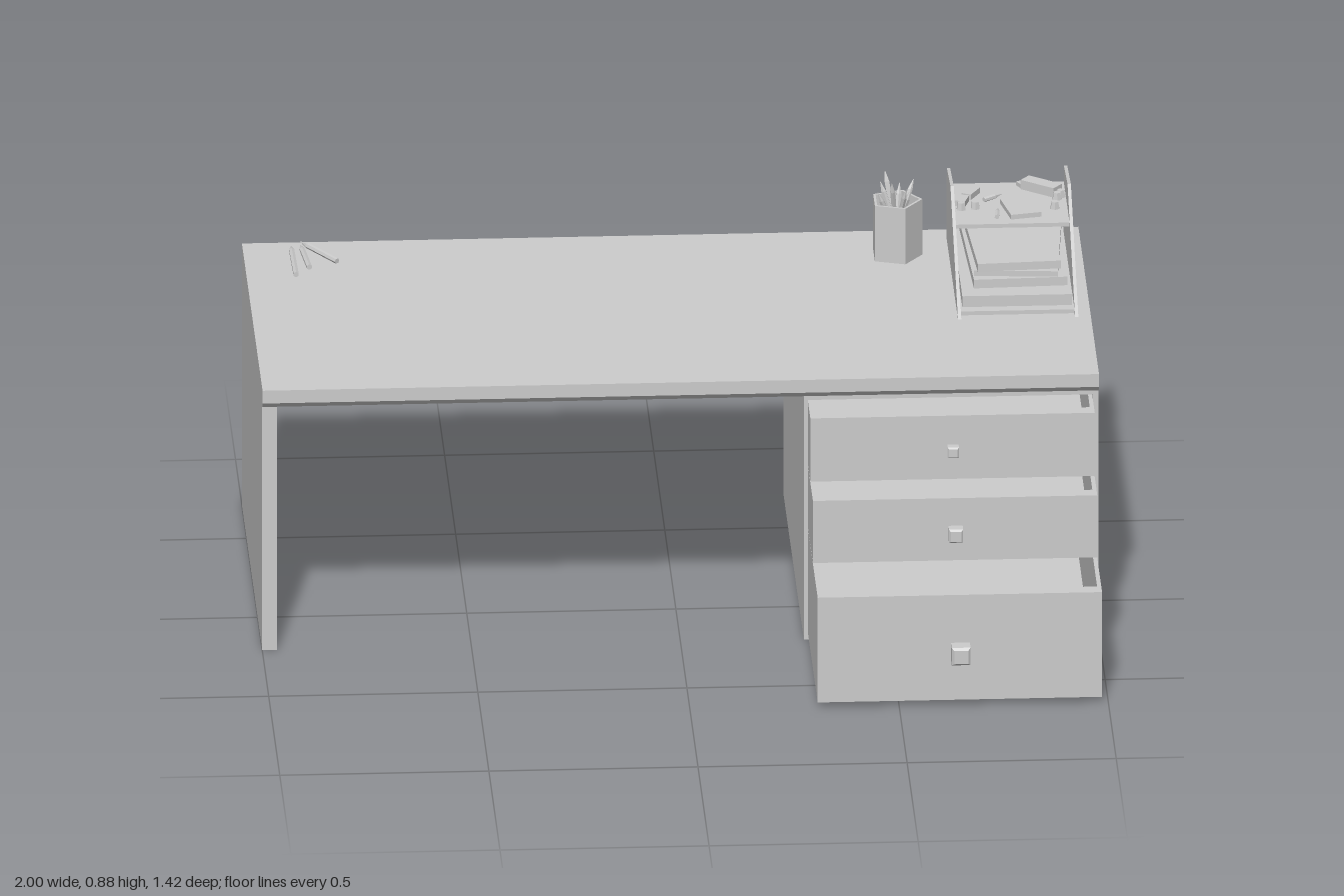
import * as THREE from 'three';

const mat = new THREE.MeshStandardMaterial({ color: 0xcccccc, flatShading: true, side: THREE.DoubleSide });

function add(parent, name, geo) {
  const m = new THREE.Mesh(geo, mat);
  m.name = name;
  parent.add(m);
  return m;
}

function group(parent, name) {
  const g = new THREE.Group();
  g.name = name;
  parent.add(g);
  return g;
}

// Box given by its limits on each axis
function box(parent, name, x0, x1, y0, y1, z0, z1) {
  const m = add(parent, name, new THREE.BoxGeometry(x1 - x0, y1 - y0, z1 - z0));
  m.position.set((x0 + x1) / 2, (y0 + y1) / 2, (z0 + z1) / 2);
  return m;
}

// Box given by its centre, size and turn about y
function turnedBox(parent, name, x, y, z, w, h, d, turn) {
  const m = add(parent, name, new THREE.BoxGeometry(w, h, d));
  m.position.set(x, y, z);
  m.rotation.y = turn;
  return m;
}

// Side profile of [z, y] points, extruded from x0 to x1
function sideProfile(parent, name, points, x0, x1) {
  const shape = new THREE.Shape(points.map(p => new THREE.Vector2(...p)));
  const geo = new THREE.ExtrudeGeometry(shape, { depth: x1 - x0, bevelEnabled: false });
  geo.rotateY(-Math.PI / 2);
  geo.translate(x1, 0, 0);
  return add(parent, name, geo);
}

// Six-sided pencil from its blunt end to its point
function pencil(parent, from, to, r) {
  const a = new THREE.Vector3(...from), b = new THREE.Vector3(...to);
  const len = a.distanceTo(b);
  const profile = [[0, 0], [r, 0], [r, len - r * 4], [0.0005, len]].map(p => new THREE.Vector2(...p));
  const m = add(parent, 'pencil', new THREE.LatheGeometry(profile, 6));
  m.position.copy(a);
  m.quaternion.setFromUnitVectors(new THREE.Vector3(0, 1, 0), b.sub(a).normalize());
}

// Open drawer with a front panel and a square chamfered knob
function drawer(parent, name, y0, y1, front, s) {
  const g = group(parent, name);
  const x0 = 0.305, x1 = 0.985, t = 0.01, back = front - 0.87;
  box(g, 'drawerFront', x0, x1, y0, y1, front - 0.036, front);
  box(g, 'drawerBack', x0, x1, y0, y1, back, back + t);
  box(g, 'drawerSide', x0, x0 + t, y0, y1, back + t, front - 0.036);
  box(g, 'drawerSide', x1 - t, x1, y0, y1, back + t, front - 0.036);
  box(g, 'drawerBottom', x0 + t, x1 - t, y0, y0 + t, back + t, front - 0.036);
  const profile = [[0, 0], [s * 0.55, 0], [s * 0.55, s * 0.9], [s * 0.75, s * 0.9], [s, s * 1.2],
    [s, s * 2.6], [s * 0.75, s * 2.9], [0, s * 2.9]];
  const geo = new THREE.LatheGeometry(profile.map(p => new THREE.Vector2(p[0] * Math.SQRT2, p[1])), 4);
  geo.rotateY(Math.PI / 4).rotateX(Math.PI / 2);
  add(g, 'knob', geo).position.set(0.645, y0 + (y1 - y0) * 0.5, front);
}

export function createModel() {
  const model = new THREE.Group();
  model.name = 'desk';

  // Desktop with a chamfered lower front edge, and its end panel
  sideProfile(model, 'desktop', [[-0.71, 0.627], [0.208, 0.627], [0.223, 0.642], [0.223, 0.675], [-0.71, 0.675]], -1, 1);
  box(model, 'endPanel', -1, -0.965, 0, 0.627, -0.71, 0.208);

  // Drawer cabinet, open at the front
  const cabinet = group(model, 'cabinet');
  box(cabinet, 'cabinetSide', 0.295, 0.305, 0, 0.627, -0.71, 0.208);
  box(cabinet, 'cabinetSide', 0.987, 1, 0, 0.627, -0.71, 0.208);
  box(cabinet, 'cabinetBottom', 0.305, 0.987, 0, 0.012, -0.71, 0.208);
  box(cabinet, 'cabinetTop', 0.305, 0.987, 0.617, 0.627, -0.71, 0.208);
  box(cabinet, 'cabinetBack', 0.305, 0.987, 0.012, 0.617, -0.71, -0.695);

  drawer(model, 'topDrawer', 0.45, 0.613, 0.315, 0.0135);
  drawer(model, 'middleDrawer', 0.287, 0.447, 0.43, 0.017);
  drawer(model, 'bottomDrawer', 0.015, 0.285, 0.645, 0.0225);

  // Desk tray: sloping sides, base and upper shelf
  const tray = group(model, 'paperTray');
  const side = [[-0.14, 0.675], [-0.48, 0.88], [-0.645, 0.86], [-0.665, 0.675]];
  sideProfile(tray, 'traySide', side, 0.682, 0.69);
  sideProfile(tray, 'traySide', side, 0.962, 0.97);
  box(tray, 'trayBase', 0.69, 0.962, 0.675, 0.685, -0.665, -0.165);
  box(tray, 'trayShelf', 0.69, 0.962, 0.807, 0.817, -0.65, -0.39);

  // Stacked papers and books below the shelf
  [[0.826, 0.7, -0.42, 0.262, 0.028, 0.46, 0], [0.83, 0.726, -0.43, 0.225, 0.022, 0.38, 0.04],
    [0.84, 0.745, -0.42, 0.2, 0.014, 0.34, -0.08], [0.825, 0.762, -0.42, 0.2, 0.02, 0.33, 0.06]]
    .forEach(p => turnedBox(tray, 'paperStack', ...p));

  // Small supplies on the shelf
  const supplies = group(tray, 'supplies');
  turnedBox(supplies, 'notepad', 0.85, 0.823, -0.475, 0.075, 0.012, 0.105, 0.2);
  turnedBox(supplies, 'stapler', 0.905, 0.829, -0.592, 0.095, 0.024, 0.035, -0.65);
  turnedBox(supplies, 'eraser', 0.735, 0.824, -0.572, 0.025, 0.014, 0.05, -0.5);
  turnedBox(supplies, 'eraser', 0.712, 0.824, -0.525, 0.025, 0.014, 0.04, -0.3);
  turnedBox(supplies, 'eraser', 0.865, 0.822, -0.63, 0.03, 0.01, 0.02, 0.5);
  pencil(supplies, [0.79, 0.823, -0.42], [0.795, 0.823, -0.475], 0.006);
  pencil(supplies, [0.765, 0.823, -0.53], [0.81, 0.823, -0.565], 0.006);
  for (const [x, z] of [[0.708, -0.487], [0.742, -0.492], [0.932, -0.483], [0.94, -0.54], [0.95, -0.555]]) {
    add(supplies, 'pin', new THREE.CylinderGeometry(0.009, 0.012, 0.018, 6)).position.set(x, 0.826, z);
  }

  // Five-sided pencil cup with pencils
  const cup = group(model, 'pencilCup');
  cup.position.set(0.555, 0.675, -0.555);
  const wall = [[0, 0], [0.064, 0], [0.064, 0.143], [0.057, 0.143], [0.057, 0.008], [0, 0.008]];
  const cupGeo = new THREE.LatheGeometry(wall.map(p => new THREE.Vector2(...p)), 5);
  cupGeo.rotateY(Math.PI / 2);
  add(cup, 'cup', cupGeo);
  for (let i = 0; i < 8; i++) {
    const a = i * Math.PI / 4 + 0.3, r = 0.038 + 0.012 * (i % 2);
    const c = Math.cos(a), s = Math.sin(a);
    pencil(cup, [-0.02 * c, 0.01, -0.02 * s], [r * c, 0.172 + 0.014 * (i % 3), r * s], 0.0065);
  }

  // Loose pencils on the other end of the desk
  const loose = group(model, 'loosePencils');
  pencil(loose, [-0.882, 0.682, -0.49], [-0.885, 0.682, -0.67], 0.007);
  pencil(loose, [-0.848, 0.682, -0.535], [-0.862, 0.682, -0.675], 0.007);
  pencil(loose, [-0.78, 0.682, -0.57], [-0.862, 0.688, -0.682], 0.007);

  return model;
}
